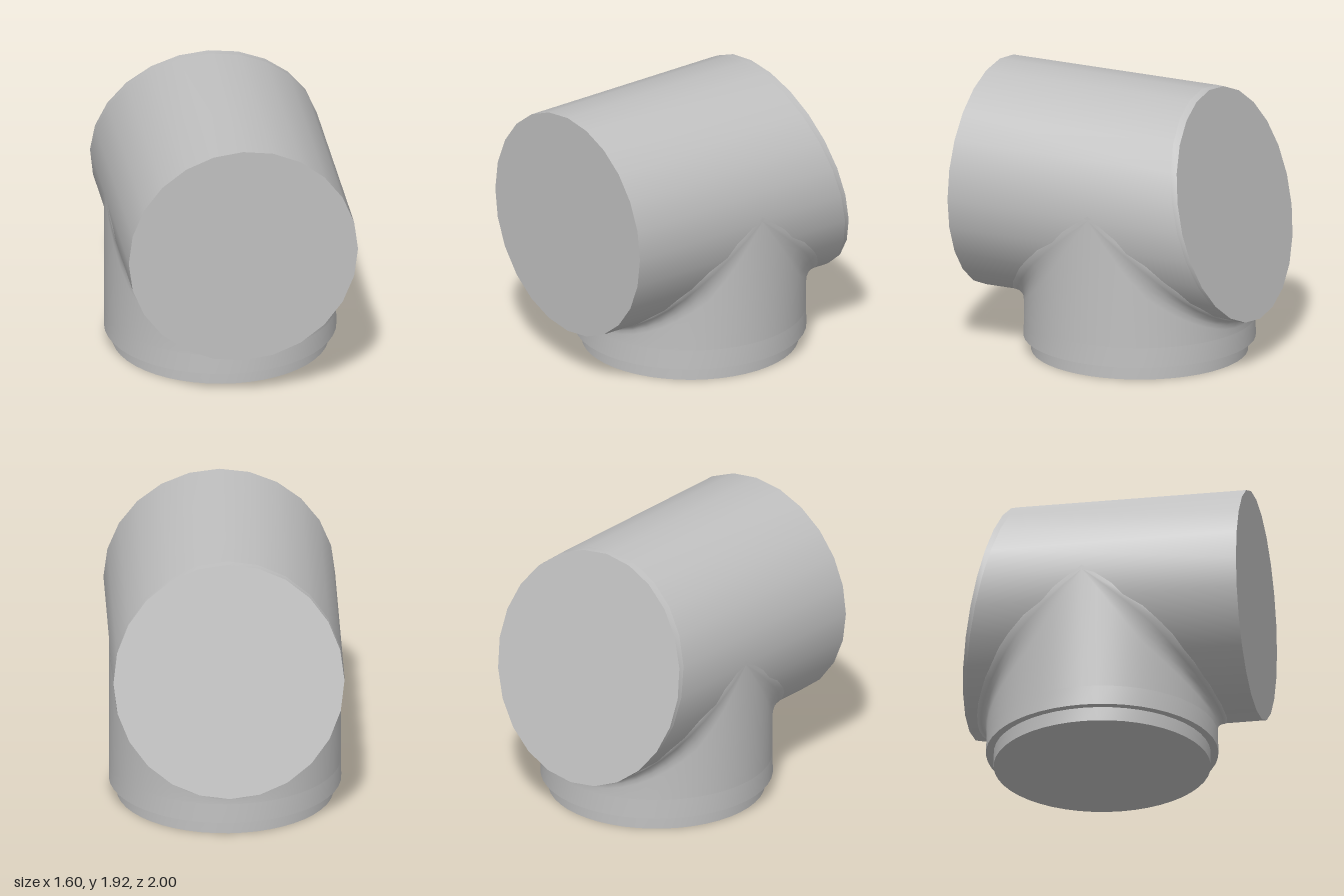
import * as THREE from 'three';

const R = 0.795;      // radius of the main pipe and of the branch
const AXIS_Y = 1.13;  // height of the main pipe's axis
const BRANCH_Z = -0.075;

// Closed ring of points from a function of angle
function ring(n, f) {
  return Array.from({ length: n }, (_, i) => f((i / n) * Math.PI * 2));
}

// Smooth skin through a list of rings with equal point counts
function skin(rings) {
  const n = rings[0].length, pos = rings.flat(2), idx = [];
  for (let k = 0; k < rings.length - 1; k++) {
    for (let i = 0; i < n; i++) {
      const a = k * n + i, b = k * n + (i + 1) % n;
      idx.push(a, a + n, b, b, a + n, b + n);
    }
  }
  const g = new THREE.BufferGeometry();
  g.setAttribute('position', new THREE.Float32BufferAttribute(pos, 3));
  g.setIndex(idx);
  g.computeVertexNormals();
  return g;
}

export function createModel() {
  const group = new THREE.Group();
  const grey = new THREE.MeshStandardMaterial({ color: 0xc0c0c0 });
  grey.name = 'grey';
  const add = (name, ...rings) => {
    const mesh = new THREE.Mesh(skin(rings), grey);
    mesh.name = name;
    group.add(mesh);
  };

  // Main pipe: square front end, slanted back end with a narrow wedge collar
  const pipe = (zAt, r = R) => ring(24, (a) => {
    const y = AXIS_Y + r * Math.sin(a);
    return [r * Math.cos(a), y, zAt(y)];
  });
  const top = AXIS_Y + R;
  const backCut = (y) => -0.61 - 0.39 * (top - y) / (2 * R);
  const seamCut = (y) => -0.555 - 0.425 * (top - y) / (2 * R);
  const front = pipe(() => 1), seam = pipe(seamCut), back = pipe(backCut, R - 0.002);
  add('frontCap', pipe(() => 1, 0), front);
  add('mainPipe', front, seam);
  add('backCollar', seam, back);
  add('backCap', back, pipe(backCut, 0));

  // Branch foot: recessed base, step and rim
  const N = 48;
  const flat = (r, y) => ring(N, (a) => [r * Math.cos(a), y, BRANCH_Z + r * Math.sin(a)]);
  add('baseCap', flat(0, 0), flat(0.745, 0));
  add('baseSpigot', flat(0.745, 0), flat(0.745, 0.1));
  add('rimStep', flat(0.745, 0.1), flat(0.798, 0.1));
  add('rim', flat(0.798, 0.1), flat(R, 0.24));

  // Saddle fillet: follows the crossing of the two pipes, t = 0 on branch, 1 on main pipe
  const saddle = (t, sink = 0) => ring(N, (a) => {
    const s = Math.sin(a), c = Math.cos(a);
    const f = (0.06 + 0.1 * c * c) * Math.min(1, Math.abs(s) * 2);
    const y = AXIS_Y - R * Math.abs(s) - f * (1 - t) ** 2;
    const z = R * s + Math.sign(s) * f * t * t;
    return [R * c, y + sink, BRANCH_Z + z];
  });
  add('branchSaddle', flat(R, 0.24), saddle(0), saddle(0.25), saddle(0.5),
    saddle(0.75), saddle(1), saddle(1, 0.03));

  return group;
}
